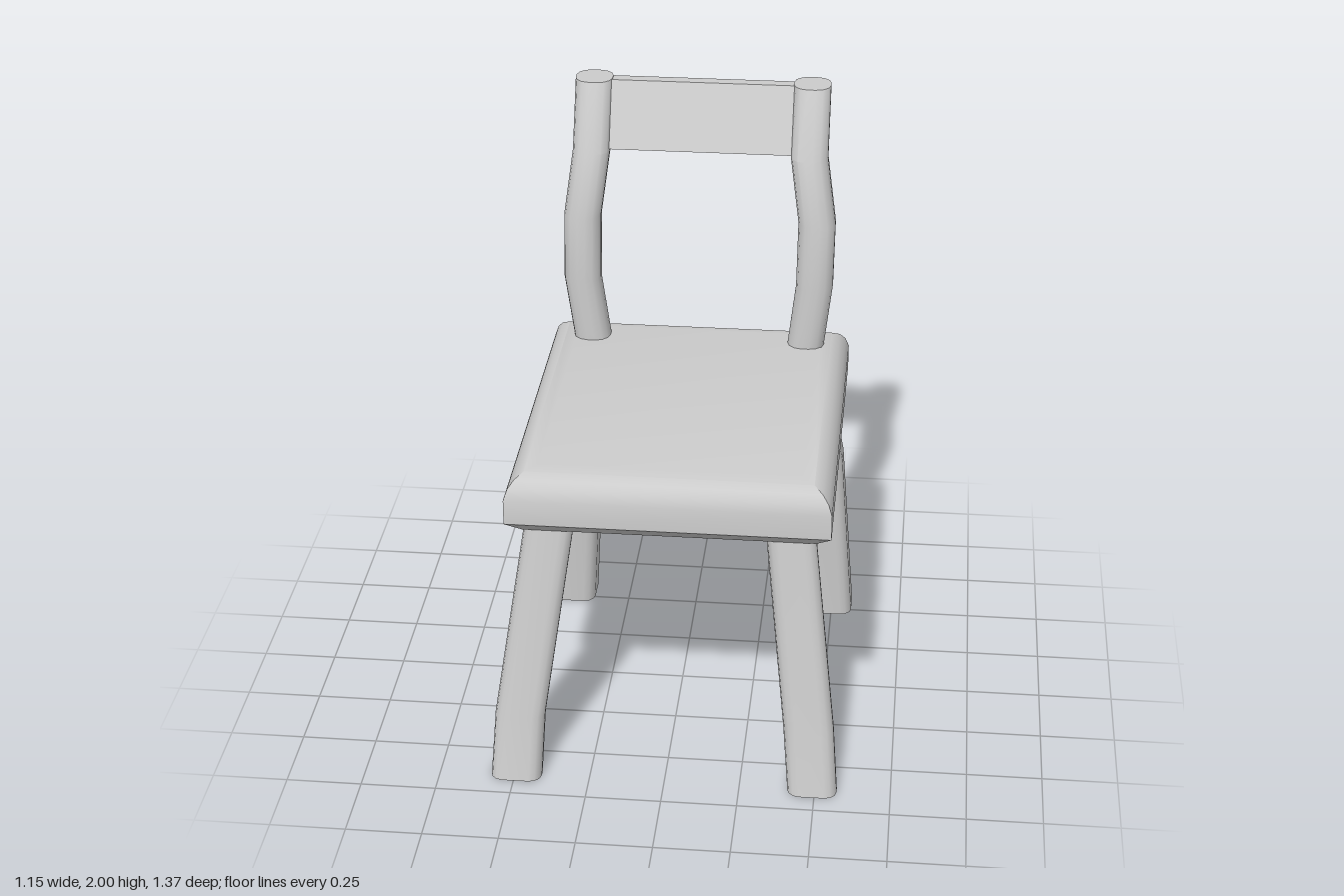
import * as THREE from 'three';
import { toCreasedNormals } from 'three/addons/utils/BufferGeometryUtils.js';

const material = new THREE.MeshStandardMaterial({ color: 0xcccccc });

// Counter-clockwise (seen from above) outline of a rectangle with rounded corners
function outline([, x0, x1, z0, z1], radius, steps) {
  const centres = [[x1 - radius, z0 + radius, 0], [x0 + radius, z0 + radius, 1],
    [x0 + radius, z1 - radius, 2], [x1 - radius, z1 - radius, 3]];
  const points = [];
  for (const [cx, cz, quarter] of centres) {
    for (let i = 0; i <= steps; i++) {
      const a = (quarter + (steps ? i / steps : 0.5)) * Math.PI / 2;
      points.push([cx + radius * Math.cos(a), cz - radius * Math.sin(a)]);
    }
  }
  return points;
}

// Capped loft through horizontal sections [y, xMin, xMax, zMin, zMax], bottom to top
function loft(name, sections, radius = 0, steps = 0) {
  const position = [], index = [];
  const rings = sections.map(s => outline(s, radius, steps));
  const n = rings[0].length;
  rings.forEach((ring, r) => ring.forEach(([x, z]) => position.push(x, sections[r][0], z)));
  for (let r = 0; r < rings.length - 1; r++) {
    for (let i = 0; i < n; i++) {
      const a = r * n + i, b = r * n + (i + 1) % n;
      index.push(a, b, b + n, a, b + n, a + n);
    }
  }
  const top = (rings.length - 1) * n;
  for (let i = 1; i < n - 1; i++) {
    index.push(0, i + 1, i, top, top + i, top + i + 1);
  }
  const geometry = new THREE.BufferGeometry();
  geometry.setAttribute('position', new THREE.Float32BufferAttribute(position, 3));
  geometry.setIndex(index);
  const mesh = new THREE.Mesh(toCreasedNormals(geometry, 0.62), material);
  mesh.name = name;
  return mesh;
}

export function createModel() {
  const chair = new THREE.Group();
  chair.name = 'chair';

  // Seat cushion: bevelled underside, rounded upper edge, mitred corners
  const seatProfile = [[0.895, 0.05], [0.94, 0], [1.025, 0], [1.06, 0.012],
    [1.085, 0.032], [1.102, 0.06], [1.11, 0.1]];
  chair.add(loft('seat', seatProfile.map(([y, inset]) =>
    [y, -0.515 + inset, 0.53 - inset, -0.615 + inset, 0.605 - inset])));

  // Splayed, slightly bent legs
  chair.add(loft('frontRightLeg', [
    [0, -0.578, -0.41, 0.58, 0.682],
    [0.22, -0.565, -0.4, 0.54, 0.638],
    [0.92, -0.46, -0.3, 0.455, 0.548]], 0.04, 3));
  chair.add(loft('frontLeftLeg', [
    [0, 0.41, 0.573, 0.58, 0.682],
    [0.22, 0.39, 0.555, 0.54, 0.638],
    [0.92, 0.315, 0.475, 0.455, 0.548]], 0.04, 3));
  chair.add(loft('backRightLeg', [
    [0, -0.542, -0.375, -0.632, -0.465],
    [0.64, -0.5, -0.34, -0.598, -0.432],
    [0.92, -0.455, -0.3, -0.56, -0.4]], 0.04, 3));
  chair.add(loft('backLeftLeg', [
    [0, 0.41, 0.573, -0.632, -0.465],
    [0.64, 0.365, 0.525, -0.598, -0.432],
    [0.92, 0.32, 0.475, -0.56, -0.4]], 0.04, 3));

  // Back posts, bowed sideways and leaning back
  const postDepth = [[1.05, -0.525, -0.4], [1.33, -0.525, -0.4], [1.56, -0.54, -0.41],
    [1.78, -0.582, -0.455], [2, -0.685, -0.56]];
  const posts = {
    rightPost: [-0.415, -0.455, -0.453, -0.425, -0.425],
    leftPost: [0.315, 0.347, 0.35, 0.317, 0.317],
  };
  for (const [name, edges] of Object.entries(posts)) {
    chair.add(loft(name, postDepth.map(([y, z0, z1], i) =>
      [y, edges[i], edges[i] + 0.126, z0, z1]), 0.05, 3));
  }

  // Slanted top slat between the posts
  chair.add(loft('backSlat', [
    [1.785, -0.34, 0.36, -0.545, -0.5],
    [1.998, -0.34, 0.36, -0.642, -0.6]]));
  return chair;
}
